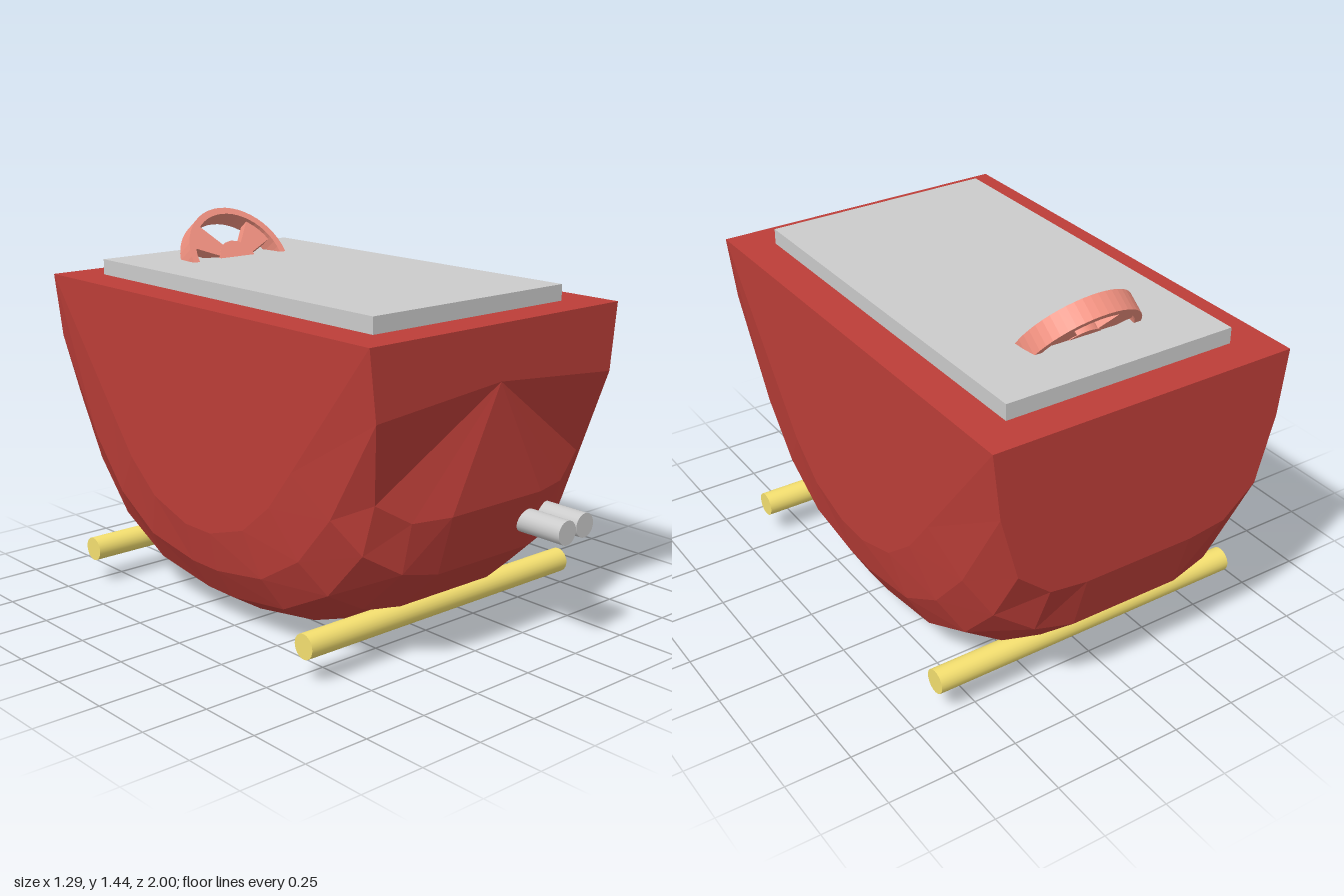
import * as THREE from 'three';

const paint = (color, flatShading = false) => new THREE.MeshStandardMaterial({ color, flatShading });

function add(group, name, geometry, material, x = 0, y = 0, z = 0) {
  const mesh = new THREE.Mesh(geometry, material);
  mesh.name = name;
  mesh.position.set(x, y, z);
  group.add(mesh);
  return mesh;
}

// Half profiles of the tub, from the keel to the end wall: [half width, [[u, y], ...]]
const SECTIONS = [
  [0.22, [[0.08, 0], [0.43, 0.05], [0.72, 0.17], [0.93, 0.35], [1, 0.57]]],
  [0.37, [[0.08, 0.03], [0.42, 0.08], [0.70, 0.20], [0.91, 0.38], [1, 0.59]]],
  [0.50, [[0.08, 0.11], [0.40, 0.15], [0.66, 0.27], [0.85, 0.46], [1, 0.70]]],
  [0.57, [[0.08, 0.23], [0.36, 0.27], [0.58, 0.39], [0.76, 0.58], [1, 0.95]]],
  [0.60, [[0.08, 0.38], [0.29, 0.44], [0.45, 0.56], [0.58, 0.71], [1, 1.2]]],
];

function tubGeometry() {
  const zMid = -0.08, zHalf = 0.92;
  // One cross-section, running from the front wall under the keel to the back wall
  const ring = (side, [w, pts]) => {
    const front = pts.map(([u, y]) => [side * w, y, zMid + zHalf * u]).reverse();
    const back = pts.map(([u, y]) => [side * w, y, zMid - zHalf * u]);
    // The front wall is pressed in at its lower shoulders
    if (w === 0.37) front[0] = [side * w, 0.57, 0.80];
    if (w === 0.50) front[0] = [side * w, 0.65, 0.76];
    return [...front, ...back];
  };
  const rings = [
    ...[...SECTIONS].reverse().map((s) => ring(-1, s)),
    ...SECTIONS.map((s) => ring(1, s)),
  ];
  const n = rings.length - 1, m = rings[0].length - 1;
  const pos = [];
  const tri = (a, b, c) => pos.push(...a, ...b, ...c);
  const frontApex = [0, 1, zMid + zHalf], backApex = [0, 1, zMid - zHalf];

  for (let i = 0; i < n; i++) {
    const a = rings[i], b = rings[i + 1];
    for (let j = 0; j < m; j++) {
      tri(a[j], a[j + 1], b[j]);
      tri(b[j], a[j + 1], b[j + 1]);
    }
    // End walls fan out from their apex
    tri(frontApex, a[0], b[0]);
    tri(backApex, b[m], a[m]);
  }
  const l = rings[0], r = rings[n];
  tri(frontApex, r[0], l[0]);
  tri(backApex, l[m], r[m]);
  // Flat sides and deck
  for (let j = 1; j < m; j++) {
    tri(r[0], r[j], r[j + 1]);
    tri(l[0], l[j + 1], l[j]);
  }
  tri(l[0], r[0], r[m]);
  tri(l[0], r[m], l[m]);

  const g = new THREE.BufferGeometry();
  g.setAttribute('position', new THREE.Float32BufferAttribute(pos, 3));
  g.computeVertexNormals();
  return g;
}

function extrude(shape, depth) {
  const g = new THREE.ExtrudeGeometry(shape, { depth, bevelEnabled: false, curveSegments: 24 });
  return g.translate(0, 0, -depth / 2);
}

function steeringWheel() {
  const wheel = new THREE.Group();
  wheel.name = 'steeringWheel';
  const mat = paint(0xf0907f);

  const rim = new THREE.Shape().absarc(0, 0, 0.228, 0, Math.PI * 2);
  rim.holes.push(new THREE.Path().absarc(0, 0, 0.2, 0, Math.PI * 2, true));
  add(wheel, 'wheelRim', extrude(rim, 0.08), mat);

  const hub = add(wheel, 'wheelHub', new THREE.CylinderGeometry(0.085, 0.085, 0.05, 16), mat);
  hub.rotation.x = Math.PI / 2;

  // Spokes widen towards the rim
  for (const deg of [38, 142, 270]) {
    const spoke = new THREE.Shape([[0.06, -0.025], [0.205, -0.06], [0.205, 0.06], [0.06, 0.025]]
      .map(([x, y]) => new THREE.Vector2(x, y)));
    add(wheel, 'wheelSpoke', extrude(spoke, 0.045), mat).rotation.z = THREE.MathUtils.degToRad(deg);
  }
  wheel.position.set(-0.015, 1.235, -0.585);
  wheel.rotation.x = -0.65;
  return wheel;
}

export function createModel() {
  const model = new THREE.Group();
  model.name = 'roundedCart';
  const grey = paint(0xcccccc);
  const yellow = paint(0xf5e070);

  add(model, 'tub', tubGeometry(), paint(0xbc3e38, true));
  add(model, 'deckPlate', new THREE.BoxGeometry(0.915, 0.08, 1.56), grey, 0, 1.22, -0.08);

  // Axles
  for (const [name, z] of [['frontAxle', 0.57], ['rearAxle', -0.72]]) {
    const axle = new THREE.CylinderGeometry(0.046, 0.046, 1.29, 24).rotateZ(Math.PI / 2);
    add(model, name, axle, yellow, 0, 0.14, z);
  }

  // Twin pipes on the front
  for (const [x, end] of [[0.18, 1], [0.29, 0.985]]) {
    const length = end - 0.7;
    const pipe = new THREE.CylinderGeometry(0.045, 0.045, length, 24).rotateX(Math.PI / 2);
    add(model, 'pipe', pipe, grey, x, 0.465, end - length / 2);
  }

  model.add(steeringWheel());
  return model;
}
